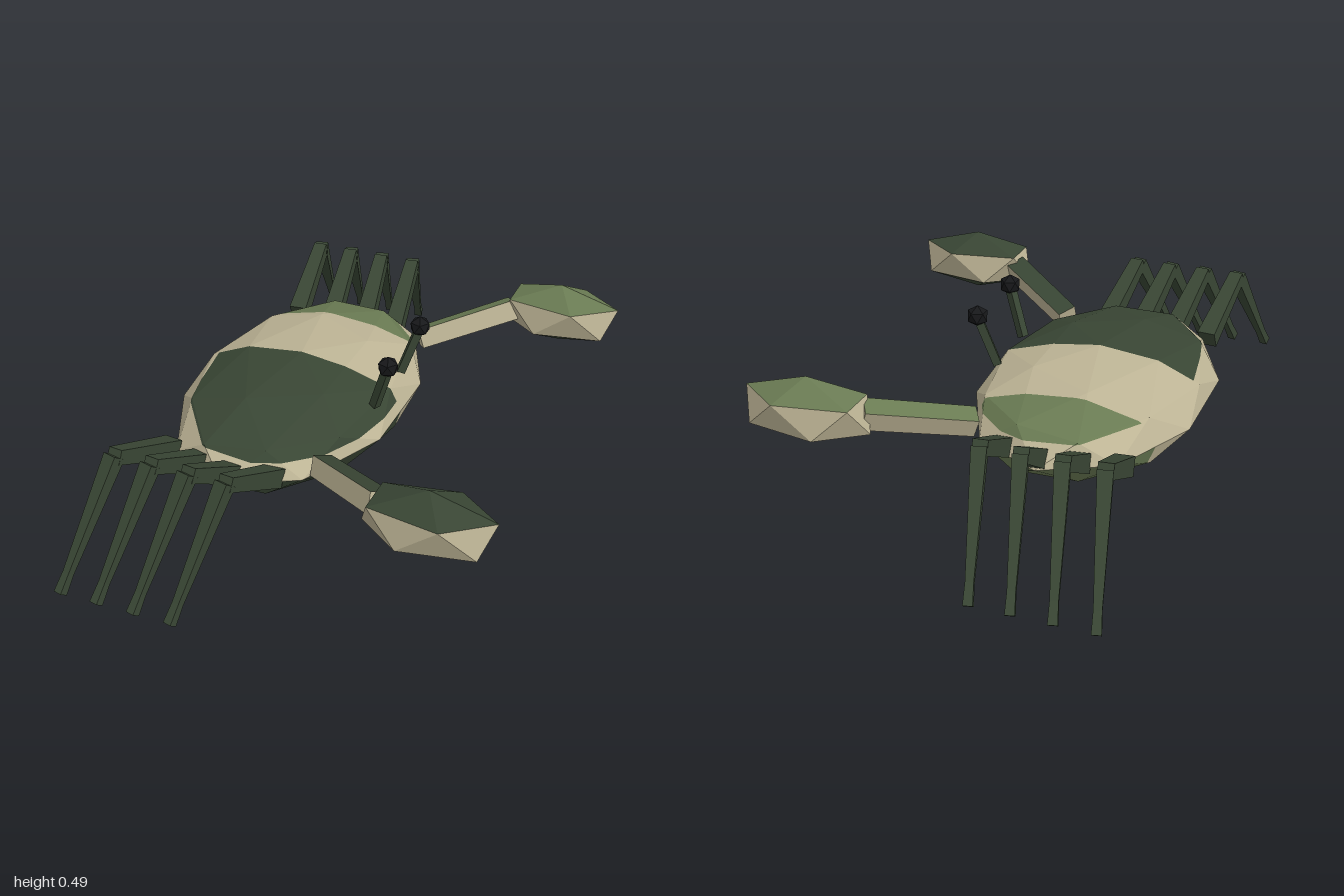
import * as THREE from 'three';

const mat = (name, color) => {
  const m = new THREE.MeshStandardMaterial({ color });
  m.name = name;
  return m;
};

// Facet triangles of a geometry as arrays of Vector3
function facets(geo) {
  const p = geo.index ? geo.toNonIndexed().attributes.position : geo.attributes.position;
  const tris = [];
  for (let i = 0; i < p.count; i += 3)
    tris.push([0, 1, 2].map(k => new THREE.Vector3().fromBufferAttribute(p, i + k)));
  return tris;
}

// Split triangles along the plane where f is zero, f being linear
function split(tris, f) {
  const out = [], eps = 1e-5;
  for (const t of tris) {
    const d = t.map(f);
    if (d.every(v => v > -eps) || d.every(v => v < eps)) {
      out.push(t);
      continue;
    }
    for (const s of [1, -1]) {
      const poly = [];
      t.forEach((a, i) => {
        const fa = d[i] * s, fb = d[(i + 1) % 3] * s;
        if (fa > -eps) poly.push(a);
        if ((fa > eps && fb < -eps) || (fa < -eps && fb > eps))
          poly.push(a.clone().lerp(t[(i + 1) % 3], fa / (fa - fb)));
      });
      for (let i = 1; i + 1 < poly.length; i++) out.push([poly[0], poly[i], poly[i + 1]]);
    }
  }
  return out;
}

// Flat shaded mesh, each facet coloured by paint(centre, normal)
function paintedMesh(name, tris, mats, paint) {
  const lists = mats.map(() => []);
  for (const t of tris) {
    const tri = new THREE.Triangle(...t);
    const c = tri.getMidpoint(new THREE.Vector3()), n = tri.getNormal(new THREE.Vector3());
    lists[paint(c, n)].push(...t);
  }
  const geo = new THREE.BufferGeometry().setFromPoints(lists.flat());
  let start = 0;
  lists.forEach((l, i) => {
    if (l.length) geo.addGroup(start, l.length, i);
    start += l.length;
  });
  geo.computeVertexNormals();
  const mesh = new THREE.Mesh(geo, mats);
  mesh.name = name;
  return mesh;
}

// Flat shaded mesh of one colour
function plainMesh(name, geo, material) {
  const g = new THREE.BufferGeometry().setFromPoints(facets(geo).flat());
  g.computeVertexNormals();
  const mesh = new THREE.Mesh(g, material);
  mesh.name = name;
  return mesh;
}

// Faceted ball with a pole on y; turn sets which way its upper ring points
function ball(detail, turn, radii, centre) {
  return new THREE.IcosahedronGeometry(1, detail)
    .rotateX(-Math.atan2((1 + Math.sqrt(5)) / 2, 1))
    .rotateY(turn * Math.PI / 2)
    .scale(...radii).translate(...centre);
}

// Tapered square bar from a to b, with end widths wa and wb; lean rolls its top along z
function bar(a, b, wa, wb, lean = 0) {
  const p = new THREE.Vector3(...a), q = new THREE.Vector3(...b);
  const geo = new THREE.CylinderGeometry(wb * Math.SQRT1_2, wa * Math.SQRT1_2, p.distanceTo(q), 4)
    .rotateY(Math.PI / 4).rotateX(Math.PI / 2);
  const m = new THREE.Matrix4().lookAt(q, p, new THREE.Vector3(0, 1, lean));
  m.setPosition(p.add(q).multiplyScalar(0.5));
  return geo.applyMatrix4(m);
}

export function createModel() {
  const root = new THREE.Group();
  root.name = 'crab';
  const dark = mat('darkGreen', 0x394634);
  const tan = mat('tan', 0xbdb495);
  const green = mat('mossGreen', 0x6a7b53);
  const black = mat('eyeBlack', 0x17181a);
  const shellMats = [dark, tan, green];
  const DARK = 0, TAN = 1, GREEN = 2;

  // Shell: three bands across, with a tan rim above the equator
  let shell = facets(ball(1, -1, [0.363, 0.143, 0.58], [-0.27, 0.218, 0]));
  const rimLow = p => p.y - 0.217;
  const rimHigh = p => p.y + 0.065 * p.x - 0.253;
  for (const f of [p => p.z, p => p.z + 0.32, rimLow, rimHigh]) shell = split(shell, f);
  root.add(paintedMesh('shell', shell, shellMats, c => {
    if (rimLow(c) > 0 && rimHigh(c) < 0) return TAN;
    return c.z > 0 ? DARK : c.z > -0.32 ? TAN : GREEN;
  }));

  for (const s of [1, -1]) {
    const side = s > 0 ? 'front' : 'back';
    const cap = s > 0 ? DARK : GREEN;

    // Arm, rolled a little so that its front face looks up
    const arm = bar([-0.02, 0.247, s * 0.415], [0.25, 0.318, s * 0.615], 0.064, 0.068, -0.4);
    root.add(paintedMesh(side + 'Arm', facets(arm), shellMats, (c, n) =>
      (n.y > 0.6 ? cap : n.y < -0.6 ? DARK : TAN)));

    // Claw: coloured cap, tan middle, dark underside
    const claw = ball(0, 1, [0.225, 0.105, 0.121], [0.41, 0.32, s * 0.645]);
    root.add(paintedMesh(side + 'Claw', facets(claw), shellMats, c =>
      (c.y > 0.36 ? cap : c.y < 0.28 ? DARK : TAN)));

    // Eye on its stalk
    const stalk = bar([0.03, 0.295, s * 0.112], [0.083, 0.45, s * 0.136], 0.026, 0.026);
    root.add(
      plainMesh(side + 'EyeStalk', stalk, dark),
      plainMesh(side + 'Eye', ball(0, 1, [0.035, 0.035, 0.035], [0.085, 0.46, s * 0.137]), black));

    // Four jointed legs, pinched just above the foot
    [0.465, 0.495, 0.515, 0.485].forEach((z, i) => {
      const x = i * 0.12;
      const leg = new THREE.Group();
      leg.name = side + 'Leg' + (i + 1);
      const hip = [-0.5 + x, 0.222, s * z];
      const knee = [-0.53 + x, 0.352, s * 0.735];
      const ankle = [-0.587 + x, 0.063, s * 0.949];
      const foot = [-0.597 + x, 0.012, s * 0.987];
      leg.add(
        plainMesh('upperLeg', bar(hip, knee, 0.06, 0.045), dark),
        plainMesh('lowerLeg', bar(knee, ankle, 0.045, 0.024), dark),
        plainMesh('foot', bar(ankle, foot, 0.024, 0.028), dark));
      root.add(leg);
    });
  }
  return root;
}
